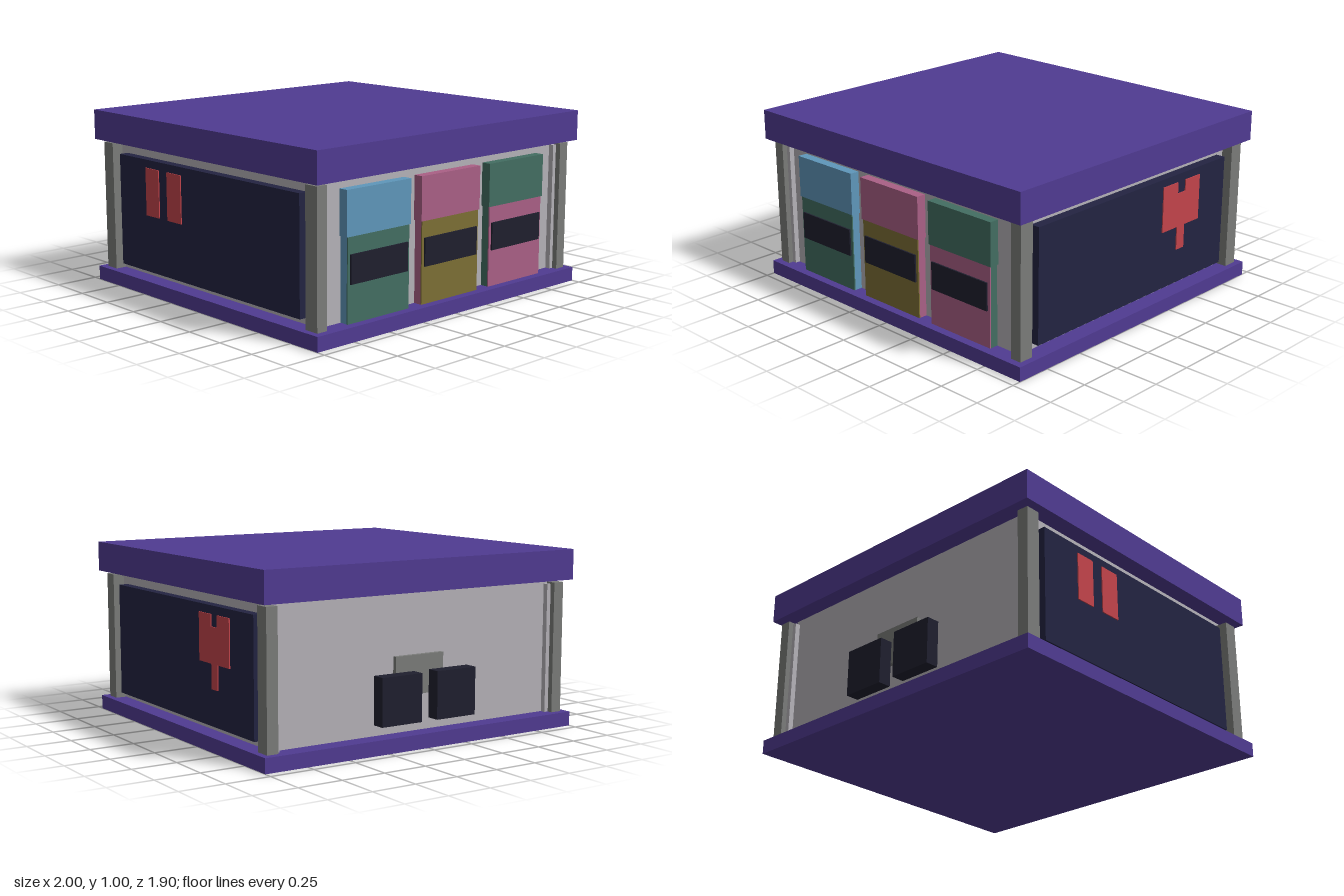
import * as THREE from 'three';

const mat = (name, color) => {
  const m = new THREE.MeshStandardMaterial({ color });
  m.name = name;
  return m;
};

export function createModel() {
  const purple = mat('purple', 0x503b92);
  const wall = mat('pale grey', 0xb5b2b8);
  const grey = mat('grey', 0x7b7c7a);
  const blue = mat('blue', 0x5f97bb);
  const pink = mat('pink', 0xaa6086);
  const green = mat('green', 0x436e62);
  const olive = mat('olive', 0x7c6f35);
  const navy = mat('navy', 0x232442);
  const dark = mat('charcoal', 0x1f1f2e);
  const red = mat('red', 0xc3444b);

  const model = new THREE.Group();
  model.name = 'kiosk';

  // Box from its limits on each axis
  const box = (name, material, [x0, x1], [y0, y1], [z0, z1], parent = model) => {
    const mesh = new THREE.Mesh(new THREE.BoxGeometry(x1 - x0, y1 - y0, z1 - z0), material);
    mesh.position.set((x0 + x1) / 2, (y0 + y1) / 2, (z0 + z1) / 2);
    mesh.name = name;
    parent.add(mesh);
    return mesh;
  };
  const span = (s, a, b) => (s > 0 ? [a, b] : [-b, -a]);

  // Slabs and walls
  box('base', purple, [-1, 1], [0, 0.08], [-0.95, 0.95]);
  box('roof', purple, [-1, 1], [0.83, 1], [-0.95, 0.95]);
  box('walls', wall, [-0.9, 0.9], [0.08, 0.83], [-0.85, 0.85]);

  // Corner pillars with a slim inner trim
  for (const sx of [-1, 1]) {
    for (const sz of [-1, 1]) {
      box('pillar', grey, span(sx, 0.9, 0.965), [0.08, 0.815], span(sz, 0.825, 0.91));
      box('pillarTrim', wall, span(sx, 0.875, 0.9), [0.08, 0.805], span(sz, 0.84, 0.88));
    }
    box('sidePanel', navy, span(sx, 0.9, 0.955), [0.12, 0.76], [-0.77, 0.77]);
  }

  // Three front cabinets: body, hood, coloured door and dark window
  const cabinets = [[-0.535, blue, green], [-0.003, pink, olive], [0.528, green, pink]];
  for (const [x, hood, door] of cabinets) {
    const g = new THREE.Group();
    g.name = 'cabinet';
    g.position.x = x;
    model.add(g);
    box('cabinetBody', hood, [-0.218, 0.218], [0.08, 0.53], [0.85, 0.895], g);
    box('cabinetHood', hood, [-0.226, 0.226], [0.53, 0.77], [0.85, 0.905], g);
    box('cabinetDoor', door, [-0.218, 0.218], [0.08, 0.53], [0.895, 0.902], g);
    box('cabinetWindow', dark, [-0.202, 0.202], [0.285, 0.44], [0.902, 0.911], g);
  }

  // Back bracket carrying two dark boxes
  box('backBracket', grey, [-0.15, 0.16], [0.28, 0.49], [-0.875, -0.85]);
  box('backBox', dark, [0.045, 0.3], [0.145, 0.405], [-0.95, -0.875]);
  box('backBox', dark, [-0.31, -0.055], [0.145, 0.405], [-0.95, -0.875]);

  // Notched sign with a stem on the left side panel
  const pts = [
    [0.215, 0.715], [0.215, 0.455], [0.345, 0.455], [0.345, 0.32], [0.41, 0.32], [0.41, 0.455],
    [0.535, 0.455], [0.535, 0.715], [0.408, 0.715], [0.408, 0.65], [0.342, 0.65], [0.342, 0.715],
  ];
  const shape = new THREE.Shape(pts.map(([u, v]) => new THREE.Vector2(u, v)));
  const sign = new THREE.Mesh(
    new THREE.ExtrudeGeometry(shape, { depth: 0.006, bevelEnabled: false }), red);
  sign.name = 'leftSign';
  sign.rotation.y = Math.PI / 2;
  sign.position.x = 0.955;
  model.add(sign);

  // Two bars on the right side panel
  for (const z of [[-0.515, -0.395], [-0.32, -0.195]]) {
    box('rightSignBar', red, [-0.961, -0.955], [0.445, 0.715], z);
  }

  return model;
}
